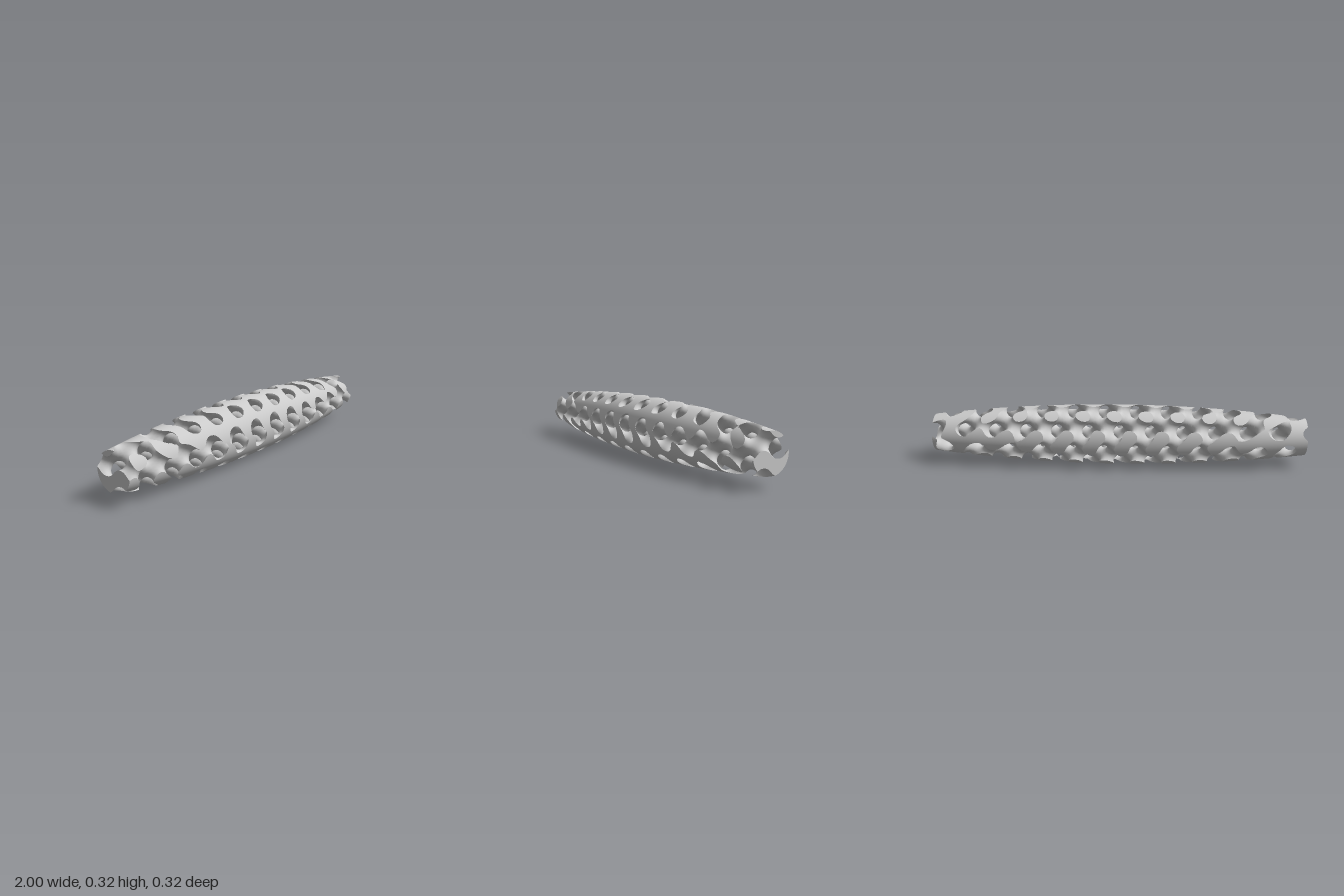
import * as THREE from 'three';

const PERIOD = 1 / 6, K = 2 * Math.PI / PERIOD; // twelve lattice cells along the length
const LEVEL = -0.2;                             // solid where the field is below this
const R_MID = 0.161, TAPER = 0.061;             // spindle radius: middle, and loss at the ends
const N = 20, M = 114;                          // grid steps across and along

const { sin, cos } = Math;

// Gyroid field and its gradient direction
const field = ([x, y, z]) => {
  const X = K * x, Y = K * y, Z = K * z;
  return cos(X) * sin(Y) + sin(X) * cos(Z) - sin(Z) * cos(Y);
};
const gradient = ([x, y, z]) => {
  const X = K * x, Y = K * y, Z = K * z;
  return new THREE.Vector3(
    cos(X) * cos(Z) - sin(X) * sin(Y),
    cos(X) * cos(Y) + sin(Z) * sin(Y),
    -sin(X) * sin(Z) - cos(Z) * cos(Y)
  ).normalize();
};
const spindleNormal = ([x, y, z]) => {
  const r = Math.hypot(y, z);
  return new THREE.Vector3(2 * TAPER * x, y / r, z / r).normalize();
};

// Grid node: a square grid bent into a disc, scaled along the spindle
function node(i, j, k) {
  const x = -1 + 2 * i / M, u = -1 + 2 * j / N, v = -1 + 2 * k / N;
  const s = (R_MID - TAPER * x * x) * Math.max(Math.abs(u), Math.abs(v)) / (Math.hypot(u, v) || 1);
  const p = [x, u * s, v * s];
  return { p, f: field(p) - LEVEL };
}

// Point where the field crosses the level between two nodes
function cross(a, b) {
  const t = a.f / (a.f - b.f);
  return a.p.map((c, i) => c + (b.p[i] - c) * t);
}

// Collects convex polygons as triangles that face along the given normals
class Surface {
  constructor() { this.positions = []; this.normals = []; }
  add(poly, normalAt) {
    const n = poly.map(normalAt);
    const P = poly.map(p => new THREE.Vector3(...p));
    for (let i = 1; i + 1 < poly.length; i++) {
      const face = P[i].clone().sub(P[0]).cross(P[i + 1].clone().sub(P[0]));
      if (face.lengthSq() < 1e-18) continue;
      const mean = n[0].clone().add(n[i]).add(n[i + 1]);
      const order = face.dot(mean) > 0 ? [0, i, i + 1] : [0, i + 1, i];
      for (const q of order) {
        this.positions.push(...poly[q]);
        this.normals.push(n[q].x, n[q].y, n[q].z);
      }
    }
  }
  mesh(name) {
    const g = new THREE.BufferGeometry();
    g.setAttribute('position', new THREE.Float32BufferAttribute(this.positions, 3));
    g.setAttribute('normal', new THREE.Float32BufferAttribute(this.normals, 3));
    const m = new THREE.Mesh(g, new THREE.MeshStandardMaterial({ color: 0xcccccc }));
    m.name = name;
    return m;
  }
}

// Level surface inside one tetrahedron
function sliceTet(surface, tet) {
  const inn = tet.filter(n => n.f < 0), out = tet.filter(n => n.f >= 0);
  if (!inn.length || !out.length) return;
  const poly = inn.length === 2
    ? [cross(inn[0], out[0]), cross(inn[0], out[1]), cross(inn[1], out[1]), cross(inn[1], out[0])]
    : inn.flatMap(a => out.map(b => cross(a, b)));
  surface.add(poly, gradient);
}

// Solid part of a boundary quad, split along the same diagonal as the tetrahedra
function capQuad(surface, a, b, c, d, normalAt) {
  for (const tri of [[a, b, c], [a, c, d]]) {
    const poly = [];
    tri.forEach((n, i) => {
      const next = tri[(i + 1) % 3];
      if (n.f < 0) poly.push(n.p);
      if ((n.f < 0) !== (next.f < 0)) poly.push(cross(n, next));
    });
    if (poly.length > 2) surface.add(poly, normalAt);
  }
}

export function createModel() {
  const nodes = [];
  for (let i = 0; i <= M; i++)
    for (let j = 0; j <= N; j++)
      for (let k = 0; k <= N; k++) nodes.push(node(i, j, k));
  const at = (i, j, k) => nodes[(i * (N + 1) + j) * (N + 1) + k];

  // Curved walls of the lattice: six tetrahedra per grid cell
  const lattice = new Surface();
  const paths = [[0, 1, 2], [0, 2, 1], [1, 0, 2], [1, 2, 0], [2, 0, 1], [2, 1, 0]];
  for (let i = 0; i < M; i++)
    for (let j = 0; j < N; j++)
      for (let k = 0; k < N; k++)
        for (const path of paths) {
          const c = [i, j, k], tet = [at(...c)];
          for (const axis of path) { c[axis]++; tet.push(at(...c)); }
          sliceTet(lattice, tet);
        }

  // Skin where the spindle trims the lattice
  const skin = new Surface();
  for (let i = 0; i < M; i++)
    for (let j = 0; j < N; j++)
      for (const e of [0, N]) {
        capQuad(skin, at(i, j, e), at(i + 1, j, e), at(i + 1, j + 1, e), at(i, j + 1, e), spindleNormal);
        capQuad(skin, at(i, e, j), at(i + 1, e, j), at(i + 1, e, j + 1), at(i, e, j + 1), spindleNormal);
      }

  // Flat cuts at both ends
  const ends = new Surface();
  for (const i of [0, M])
    for (let j = 0; j < N; j++)
      for (let k = 0; k < N; k++)
        capQuad(ends, at(i, j, k), at(i, j + 1, k), at(i, j + 1, k + 1), at(i, j, k + 1),
          () => new THREE.Vector3(i ? 1 : -1, 0, 0));

  const group = new THREE.Group();
  group.name = 'latticeSpindle';
  group.add(lattice.mesh('latticeWalls'), skin.mesh('outerSkin'), ends.mesh('endCuts'));
  group.children.forEach(m => { m.position.y = R_MID; });
  return group;
}
